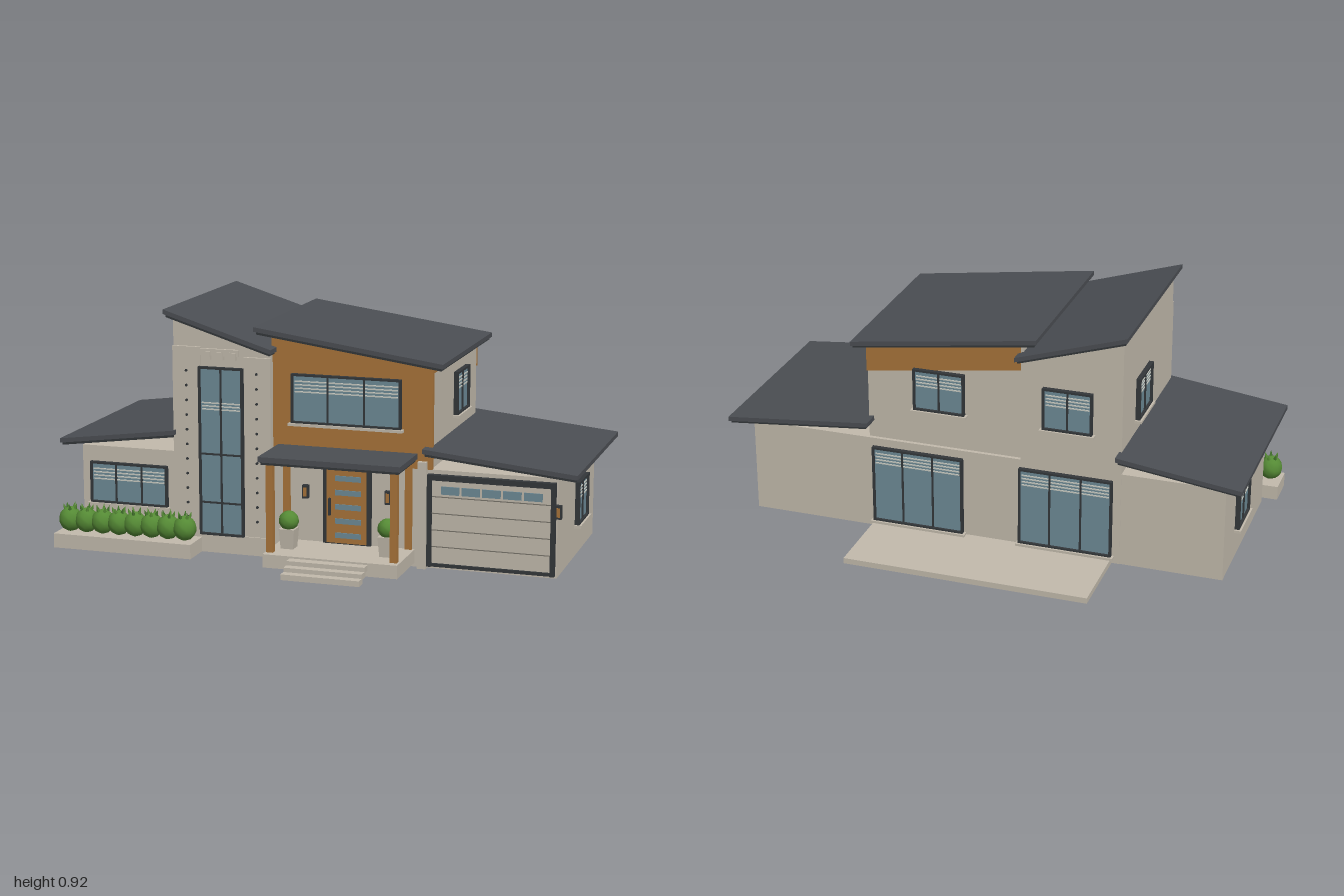
import * as THREE from 'three';

const mat = (name, color, opt = {}) => Object.assign(new THREE.MeshStandardMaterial({ color, ...opt }), { name });

export function createModel() {
  const wall = mat('warm grey wall', 0xc2baac);
  const roofing = mat('slate roof', 0x4b4e53);
  const trim = mat('dark trim', 0x33373a);
  const wood = mat('wood cladding', 0xa8743a);
  const glass = mat('blue glass', 0x6d8a96);
  const blind = mat('pale blind', 0xc9cbc2);
  const groove = mat('groove grey', 0x77736a);
  const leaf = mat('leaf green', 0x558a35);
  const leafDark = mat('dark leaf green', 0x40702a);

  const model = new THREE.Group();
  model.name = 'house';

  const add = (parent, name, geo, material, x = 0, y = 0, z = 0) => {
    const m = new THREE.Mesh(geo, material);
    m.name = name;
    m.position.set(x, y, z);
    parent.add(m);
    return m;
  };
  // Box given by its two extents on every axis
  const box = (name, material, x0, x1, y0, y1, z0, z1, parent = model) =>
    add(parent, name, new THREE.BoxGeometry(x1 - x0, y1 - y0, z1 - z0), material,
      (x0 + x1) / 2, (y0 + y1) / 2, (z0 + z1) / 2);
  // Block with sloping bottom and top, seen along z
  const slope = (name, material, x0, x1, b0, b1, t0, t1, z0, z1) => {
    const s = new THREE.Shape([[x0, b0], [x1, b1], [x1, t1], [x0, t0]].map(p => new THREE.Vector2(...p)));
    const g = new THREE.ExtrudeGeometry(s, { depth: z1 - z0, bevelEnabled: false });
    return add(model, name, g, material, 0, 0, z0);
  };

  // Sloping roof: slab plus a slightly smaller fascia underneath
  const roof = (name, x0, x1, y0, y1, z0, z1) => {
    const k = (y1 - y0) / (x1 - x0), i = 0.008;
    slope(name, roofing, x0, x1, y0 - 0.017, y1 - 0.017, y0, y1, z0, z1);
    slope(name + 'Fascia', trim, x0 + i, x1 - i, y0 + k * i - 0.027, y1 - k * i - 0.027,
      y0 + k * i - 0.017, y1 - k * i - 0.017, z0 + i, z1 - i);
  };

  // Window facing +z, centred on its own origin
  const makeWindow = (name, w, h, cols, { rows = [], blinds = [], sill = true } = {}) => {
    const g = new THREE.Group();
    g.name = name;
    const f = 0.008, d = 0.018;
    box('glass', glass, -w / 2 + f, w / 2 - f, -h / 2 + f, h / 2 - f, -0.002, 0.008, g);
    for (const s of [-1, 1]) {
      add(g, 'frameSide', new THREE.BoxGeometry(f, h, d), trim, s * (w - f) / 2, 0, d / 2);
      add(g, 'frameRail', new THREE.BoxGeometry(w - 2 * f, f, d), trim, 0, s * (h - f) / 2, d / 2);
    }
    for (let i = 1; i < cols; i++)
      add(g, 'mullion', new THREE.BoxGeometry(f * 0.8, h - 2 * f, 0.014), trim, -w / 2 + w * i / cols, 0, 0.007);
    for (const y of rows)
      add(g, 'transom', new THREE.BoxGeometry(w - 2 * f, f * 0.8, 0.014), trim, 0, y, 0.007);
    for (const y of blinds)
      add(g, 'blindSlat', new THREE.BoxGeometry(w - 3 * f, 0.005, 0.003), blind, 0, y, 0.009);
    if (sill) add(g, 'sill', new THREE.BoxGeometry(w + 0.018, 0.01, 0.028), wall, 0, -h / 2 - 0.004, 0.012);
    return g;
  };
  const place = (win, x, y, z, turn = 0) => {
    win.position.set(x, y, z);
    win.rotation.y = turn;
    model.add(win);
  };
  const slats = h => [0, 1, 2, 3].map(i => h / 2 - 0.028 - i * 0.013);

  // Ground floor wings and main body
  box('groundFloor', wall, -0.93, 0.92, 0, 0.37, -0.34, 0.325);
  const mainTop = x => 0.86 - (x + 0.22) * 0.139 - 0.027;
  slope('upperFloor', wall, -0.16, 0.45, 0.37, 0.37, mainTop(-0.16), mainTop(0.45), -0.325, 0.31);
  slope('woodFront', wood, -0.16, 0.455, 0.37, 0.37, mainTop(-0.16), mainTop(0.455), 0.31, 0.332);
  slope('woodBackBand', wood, -0.15, 0.453, mainTop(-0.15) - 0.1, mainTop(0.453) - 0.1,
    mainTop(-0.15), mainTop(0.453), -0.33, -0.325);
  box('woodSideBand', wood, 0.45, 0.454, 0.722, mainTop(0.454), -0.325, 0.31);

  // Tower
  const towerTop = x => 0.92 - (x + 0.56) * 0.305 - 0.027;
  slope('tower', wall, -0.54, -0.155, 0, 0, towerTop(-0.54), towerTop(-0.155), -0.342, 0.35);
  box('towerPier', wall, -0.54, -0.43, 0, 0.78, 0.35, 0.362);
  box('towerPier', wall, -0.26, -0.155, 0, 0.75, 0.35, 0.362);
  box('towerBase', wall, -0.43, -0.155, 0, 0.07, 0.35, 0.368);
  box('towerLintel', wall, -0.43, -0.28, 0.75, 0.775, 0.35, 0.362);
  for (const x of [-0.4, -0.35, -0.3]) box('lintelBlock', wall, x - 0.012, x + 0.012, 0.735, 0.765, 0.35, 0.37);
  place(makeWindow('towerWindow', 0.175, 0.64, 2,
    { rows: [-0.01, -0.195], blinds: [0.16, 0.172, 0.184], sill: false }), -0.345, 0.39, 0.364);
  const stud = new THREE.CylinderGeometry(0.005, 0.005, 0.006, 8).rotateX(Math.PI / 2);
  for (const x of [-0.485, -0.208])
    for (let i = 0; i < 11; i++) add(model, 'wallStud', stud, trim, x, 0.13 + i * 0.056, 0.364);

  // Roofs
  roof('towerRoof', -0.56, -0.14, 0.92, 0.79, -0.375, 0.4);
  roof('mainRoof', -0.22, 0.5, 0.865, 0.765, -0.37, 0.362);
  roof('leftWingRoof', -1, -0.53, 0.4, 0.461, -0.398, 0.38);
  roof('garageRoof', 0.43, 1, 0.455, 0.398, -0.398, 0.38);

  // Windows on front, sides and back
  const H = Math.PI / 2;
  place(makeWindow('frontUpperWindow', 0.42, 0.185, 3, { blinds: slats(0.185) }), 0.13, 0.605, 0.332);
  place(makeWindow('frontWingWindow', 0.315, 0.16, 3, { blinds: slats(0.16) }), -0.737, 0.23, 0.325);
  for (const [x, y, turn] of [[0.92, 0.203, H], [0.45, 0.592, H], [-0.93, 0.203, -H], [-0.54, 0.592, -H]])
    place(makeWindow('sideWindow', 0.178, 0.165, 2, { blinds: slats(0.165) }), x, y, -0.075, turn);
  place(makeWindow('backUpperWindow', 0.2, 0.165, 2, { blinds: slats(0.165) }), 0.165, 0.595, -0.329, Math.PI);
  place(makeWindow('backTowerWindow', 0.19, 0.165, 2, { blinds: slats(0.165) }), -0.335, 0.595, -0.342, Math.PI);
  for (const x of [0.25, -0.33])
    place(makeWindow('patioDoor', 0.36, 0.31, 3, { blinds: slats(0.31) }), x, 0.185, -0.342, Math.PI);

  // Back patio, porch and steps
  box('patio', wall, -0.51, 0.43, 0, 0.022, -0.66, -0.34);
  box('porchFloor', wall, -0.12, 0.39, 0.015, 0.065, 0.325, 0.557);
  box('porchFooting', wall, -0.1, 0.37, 0, 0.015, 0.325, 0.49);
  for (let i = 0; i < 3; i++)
    box('step', wall, -0.015, 0.28, 0.005 + i * 0.016, 0.026 + i * 0.016, 0.615 - i * 0.033, 0.66 - i * 0.033);
  box('porchRoof', roofing, -0.135, 0.4, 0.407, 0.427, 0.33, 0.56);
  box('porchRoofFascia', trim, -0.127, 0.392, 0.397, 0.407, 0.33, 0.552);
  box('porchLight', wood, 0.105, 0.16, 0.388, 0.397, 0.42, 0.46);
  for (const x of [-0.103, 0.367]) {
    box('porchPost', wood, x - 0.013, x + 0.013, 0.065, 0.397, 0.502, 0.528);
    box('wallPost', wood, x - 0.013, x + 0.013, 0.065, 0.397, 0.325, 0.337);
  }
  box('porchPier', wall, 0.405, 0.438, 0, 0.4, 0.325, 0.352);

  // Front door with glass strips
  box('doorFrame', trim, 0.04, 0.225, 0.065, 0.365, 0.325, 0.338);
  box('doorLeaf', wood, 0.056, 0.209, 0.07, 0.35, 0.338, 0.344);
  for (let i = 0; i < 5; i++)
    box('doorGlass', glass, 0.09, 0.19, 0.09 + i * 0.054, 0.11 + i * 0.054, 0.344, 0.348);
  box('doorHandle', trim, 0.066, 0.074, 0.175, 0.24, 0.344, 0.356);

  // Wall lamps
  for (const [x, y, z] of [[-0.028, 0.255, 0.325], [0.29, 0.255, 0.325], [0.93, 0.255, 0.345]]) {
    box('lampBody', trim, x - 0.011, x + 0.011, y - 0.025, y + 0.025, z, z + 0.02);
    box('lampGlow', wood, x - 0.006, x + 0.006, y - 0.017, y + 0.017, z + 0.02, z + 0.023);
  }

  // Garage door
  for (const [a, b] of [[0.44, 0.456], [0.899, 0.915]]) box('garageFrame', trim, a, b, 0.01, 0.355, 0.325, 0.348);
  box('garageFrameTop', trim, 0.456, 0.899, 0.335, 0.355, 0.325, 0.348);
  box('garageThreshold', trim, 0.456, 0.899, 0.01, 0.022, 0.325, 0.342);
  box('garageDoor', wall, 0.456, 0.899, 0.022, 0.335, 0.325, 0.333);
  for (let i = 1; i < 5; i++) box('panelGroove', groove, 0.456, 0.899, 0.02 + i * 0.0625, 0.0235 + i * 0.0625, 0.333, 0.335);
  for (let i = 0; i < 5; i++) {
    const x = 0.49 + i * 0.077;
    box('garageWindow', glass, x, x + 0.068, 0.282, 0.312, 0.333, 0.337);
  }

  // Clipped shrubs: slightly lumpy balls
  const ball = new THREE.SphereGeometry(1, 18, 12);
  const pos = ball.attributes.position, v = new THREE.Vector3();
  for (let i = 0; i < pos.count; i++) {
    v.fromBufferAttribute(pos, i);
    v.multiplyScalar(1 + 0.04 * Math.sin(7 * v.x + 1) * Math.sin(8 * v.y) * Math.cos(7 * v.z));
    pos.setXYZ(i, v.x, v.y, v.z);
  }
  ball.computeVertexNormals();
  const shrub = (name, material, x, y, z, rx, ry) => add(model, name, ball, material, x, y, z).scale.set(rx, ry, rx);

  // Potted shrubs beside the door
  const pot = new THREE.CylinderGeometry(0.042, 0.034, 0.075, 4, 1).rotateY(Math.PI / 4).toNonIndexed();
  pot.computeVertexNormals();
  for (const x of [-0.058, 0.32]) {
    add(model, 'pot', pot, wall, x, 0.102, 0.44);
    shrub('pottedShrub', leaf, x, 0.168, 0.44, 0.037, 0.036);
  }

  // Hedge planter with leafy tufts
  box('hedgePlanter', wall, -0.985, -0.43, 0, 0.055, 0.355, 0.487);
  const tuft = new THREE.ConeGeometry(0.009, 0.03, 5);
  for (let i = 0; i < 8; i++) {
    const x = -0.94 + i * 0.0665;
    shrub('hedgeBall', leaf, x, 0.102, 0.428, 0.044, 0.047);
    for (let j = 0; j < 5; j++) {
      const a = j * 1.257 + i;
      const t = add(model, 'hedgeTuft', tuft, j % 2 ? leafDark : leaf,
        x + 0.022 * Math.cos(a), 0.15, 0.428 + 0.022 * Math.sin(a));
      t.rotation.set(0.35 * Math.sin(a), 0, -0.35 * Math.cos(a));
    }
  }
  return model;
}
